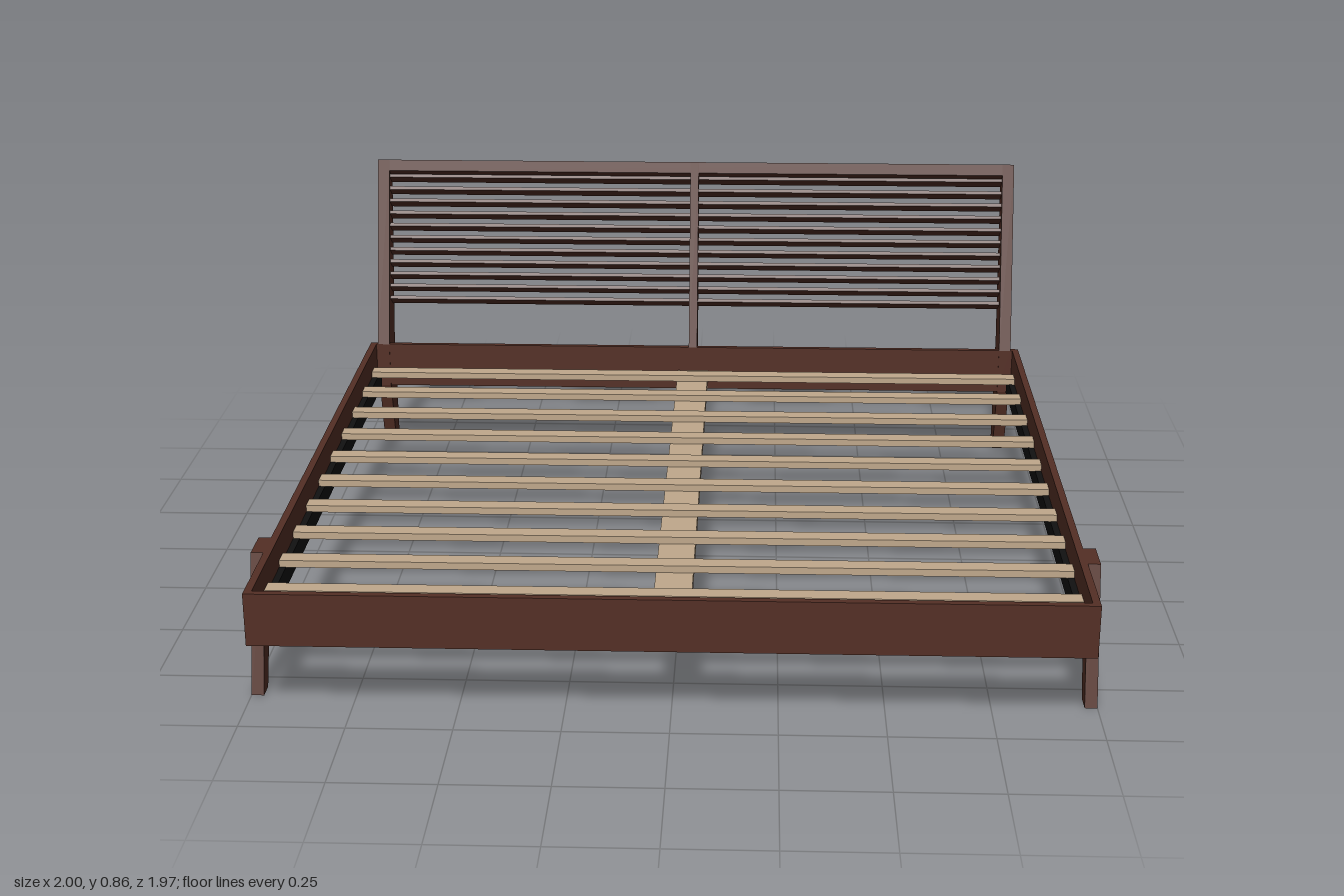
import * as THREE from 'three';

export function createModel() {
  const bed = new THREE.Group();
  bed.name = 'bedFrame';
  const mat = (name, color) => {
    const m = new THREE.MeshStandardMaterial({ color });
    m.name = name;
    return m;
  };
  const walnut = mat('darkWalnut', 0x542f25);
  const pine = mat('paleSlatWood', 0xc0a88c);
  const black = mat('blackMetal', 0x111111);

  const add = (name, geometry, material) => {
    const m = new THREE.Mesh(geometry, material);
    m.name = name;
    bed.add(m);
    return m;
  };

  // Box given by its limits on each axis
  const block = (name, material, x0, x1, y0, y1, z0, z1) => {
    const m = add(name, new THREE.BoxGeometry(x1 - x0, y1 - y0, z1 - z0), material);
    m.position.set((x0 + x1) / 2, (y0 + y1) / 2, (z0 + z1) / 2);
    return m;
  };

  // Side profile in (z, y), extruded along x about a centre
  const profile = (name, points, x, width) => {
    const shape = new THREE.Shape(points.map(([z, y]) => new THREE.Vector2(z, y)));
    const g = new THREE.ExtrudeGeometry(shape, { depth: width, bevelEnabled: false });
    g.translate(0, 0, -width / 2);
    g.rotateY(-Math.PI / 2);
    add(name, g, walnut).position.x = x;
  };

  // Outer frame boards
  block('footRail', walnut, -0.97, 0.97, 0.2, 0.33, 0.967, 0.985);
  block('headRail', walnut, -0.97, 0.97, 0.2, 0.33, -0.802, -0.787);

  const frontLeg = [[0.845, 0], [0.8, 0], [0.665, 0.33], [0.755, 0.33]];
  const post = [
    [-0.835, 0], [-0.785, 0.2], [-0.785, 0.33], [-0.94, 0.86],
    [-0.988, 0.825], [-0.892, 0.33], [-0.895, 0],
  ];
  for (const s of [-1, 1]) {
    const side = s > 0 ? 'left' : 'right';
    const rail = block(side + 'SideRail', walnut, -0.009, 0.009, 0.2, 0.33, -0.787, 0.967);
    rail.position.x = s * 0.961;
    // Ledge that carries the slat ends
    const ledge = block(side + 'SlatLedge', black, -0.008, 0.008, 0.207, 0.258, -0.76, 0.96);
    ledge.position.x = s * 0.944;
    profile(side + 'FrontLeg', frontLeg, s * 0.985, 0.03);
    profile(side + 'HeadboardPost', post, s * 0.93, 0.034);
  }
  profile('centreHeadboardPost', post, 0, 0.025);

  // Headboard cap, following the slanted post tops
  profile('headboardCap', [[-0.931, 0.829], [-0.94, 0.86], [-0.988, 0.825], [-0.982, 0.795]], 0, 1.86);

  // Louvres, front edge raised
  const louvres = 11;
  for (let i = 0; i < louvres; i++) {
    const t = i / (louvres - 1);
    const slat = add('headboardLouvre', new THREE.BoxGeometry(1.85, 0.01, 0.043), walnut);
    slat.position.set(0, 0.446 + t * 0.354, -0.868 - t * 0.087);
    slat.rotation.x = -0.6;
  }

  // Centre beam and mattress slats
  block('centreBeam', pine, -0.045, 0.045, 0.222, 0.257, -0.787, 0.967);
  for (let i = 0; i < 10; i++) {
    const z = -0.71 + i * 0.1705;
    block('mattressSlat', pine, -0.952, 0.952, 0.257, 0.275, z - 0.022, z + 0.022);
  }
  return bed;
}
